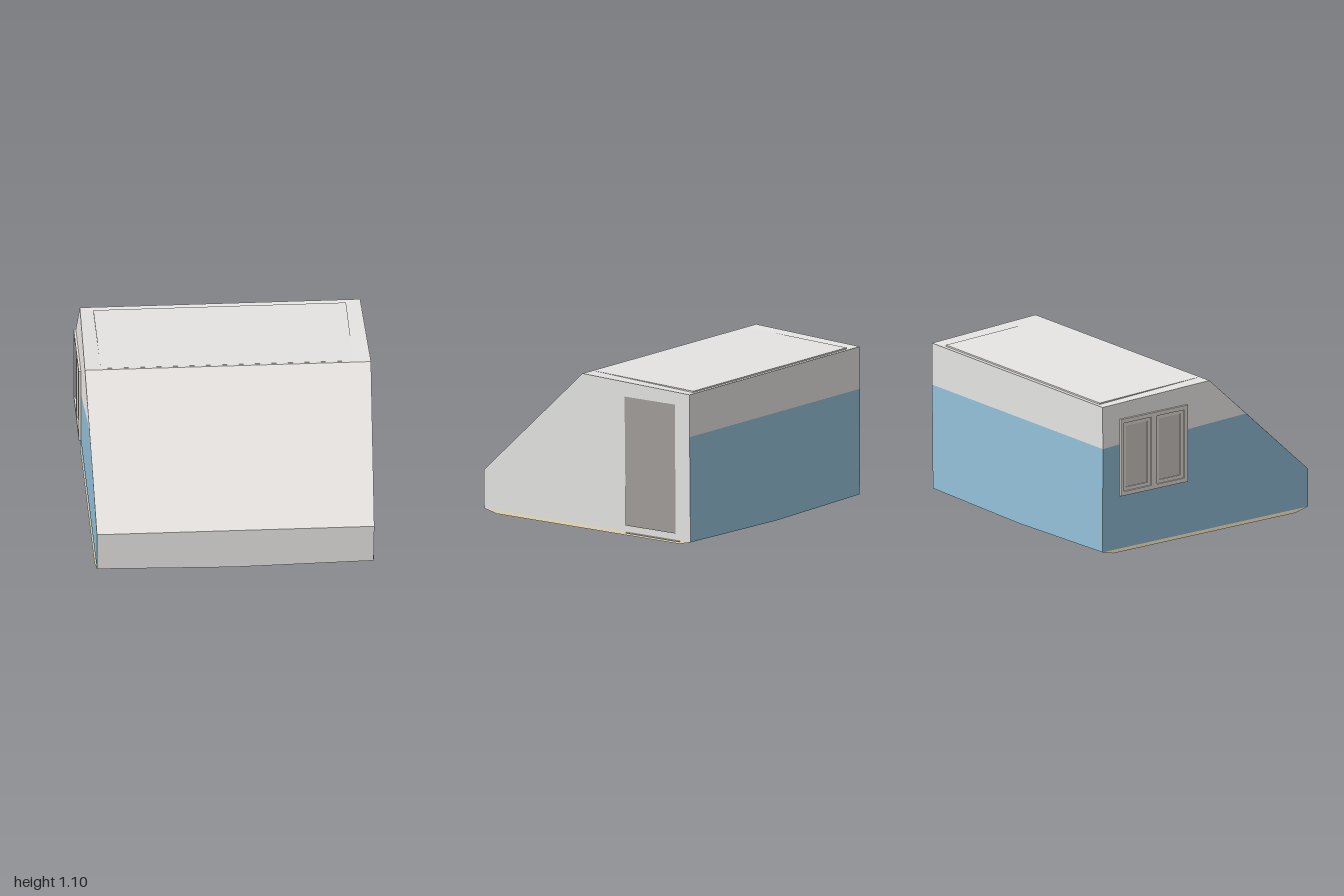
import * as THREE from 'three';

const mat = (name, color, side = THREE.FrontSide) => {
  const m = new THREE.MeshStandardMaterial({ color, side });
  m.name = name;
  return m;
};

// Polygon from 3D corners facing along +/- one axis, evenly shaded with its mean normal.
function panel(name, corners, axis, sign, material) {
  const i = 'xyz'.indexOf(axis), a = (i + 1) % 3, b = (i + 2) % 3;
  const flat = corners.map((p) => new THREE.Vector2(p[a], p[b]));
  const v = corners.map((p) => new THREE.Vector3(...p));
  const points = [], normals = [], mean = new THREE.Vector3();
  for (const [p, q, r] of THREE.ShapeUtils.triangulateShape(flat, [])) {
    const n = v[q].clone().sub(v[p]).cross(v[r].clone().sub(v[p]));
    const outward = n.getComponent(i) * sign > 0;
    points.push(...(outward ? [v[p], v[q], v[r]] : [v[p], v[r], v[q]]));
    mean.addScaledVector(n, outward ? 1 : -1);
  }
  mean.normalize();
  points.forEach(() => normals.push(mean.x, mean.y, mean.z));
  const g = new THREE.BufferGeometry().setFromPoints(points);
  g.setAttribute('normal', new THREE.Float32BufferAttribute(normals, 3));
  const mesh = new THREE.Mesh(g, material);
  mesh.name = name;
  return mesh;
}

function box(name, size, pos, material) {
  const mesh = new THREE.Mesh(new THREE.BoxGeometry(...size), material);
  mesh.position.set(...pos);
  mesh.name = name;
  return mesh;
}

export function createModel() {
  const shell = mat('light grey shell', 0xe5e4e2, THREE.DoubleSide);
  const warm = mat('warm grey shell', 0xe5e1df, THREE.DoubleSide);
  const blue = mat('blue paint', 0x94c1da, THREE.DoubleSide);
  const brown = mat('tan underside', 0xd9cca9, THREE.DoubleSide);
  const doorGrey = mat('door grey', 0xa19d9a);
  const frameGrey = mat('window frame grey', 0xe8e2dc);
  const paneGrey = mat('window pane grey', 0xd2cbc7);
  const model = new THREE.Group();
  model.name = 'wedgeCabin';

  // Key corners of the wedge-shaped body, left (+x) and right (-x)
  const L = {
    ridge: [1, 1.1, 0.02], backTop: [0.98, 1.068, -0.89], lip: [0.97, 0.3, 0.895],
    split: [0.98, 0.77, -0.89],
    base: [[0.965, 0.028, 0.895], [0.975, 0.006, 0.78], [0.975, 0.006, -0.8], [0.97, 0.028, -0.89]],
  };
  const R = {
    ridge: [-0.97, 1.1, 0.02], backTop: [-0.95, 1.068, -0.89], lip: [-0.94, 0.3, 0.895],
    split: [-0.955, 0.77, -0.89], slopeSplit: [-0.955, 0.8, 0.35],
    base: [[-0.94, 0.028, 0.895], [-0.95, 0.006, 0.78], [-0.955, 0.006, -0.8], [-0.95, 0.028, -0.89]],
  };
  const keel = [[0, 0.01, 0.895], [0, 0, 0.78], [0, 0, -0.8], [0, 0.01, -0.89]];

  // Front slope and front lip
  model.add(panel('frontSlope', [L.ridge, R.ridge, R.lip, L.lip], 'z', 1, warm));
  model.add(panel('frontLip', [L.lip, R.lip, R.base[0], keel[0], L.base[0]], 'z', 1, shell));

  // Roof: a rim dipping towards a flush centre panel
  const outer = [L.ridge, R.ridge, R.backTop, L.backTop];
  const inner = [[0.88, 1.098, 0], [-0.86, 1.098, 0], [-0.86, 1.06, -0.845], [0.88, 1.06, -0.845]];
  for (let i = 0; i < 4; i++) {
    const j = (i + 1) % 4;
    model.add(panel('roofRim', [outer[i], outer[j], inner[j], inner[i]], 'y', 1, shell));
  }
  const roofPanel = box('roofPanel', [1.74, 0.016, 0.845], [0.01, 1.0765, -0.4225], shell);
  roofPanel.rotation.x = -0.034;
  model.add(roofPanel);

  // Back wall in two colours
  model.add(panel('backWallUpper', [L.backTop, R.backTop, R.split, L.split], 'z', -1, shell));
  model.add(panel('backWallLower', [L.split, R.split, R.base[3], keel[3], L.base[3]], 'z', -1, blue));

  // Left wall with its door and threshold
  model.add(panel('leftWall', [L.ridge, L.lip, L.base[0], L.base[3], L.backTop], 'x', 1, shell));
  const door = [[0.978, 0.075, -0.34], [0.992, 0.985, -0.34], [0.986, 0.985, -0.77], [0.976, 0.075, -0.77]];
  const doorPlate = panel('door', door, 'x', 1, doorGrey);
  doorPlate.position.x = 0.004;
  model.add(doorPlate);
  model.add(box('doorThreshold', [0.02, 0.007, 0.46], [0.972, 0.022, -0.57], shell));

  // Right wall, bulging out to the window opening, in two colours
  const win = (y, z) => [-0.985, y, z];
  const z0 = -0.77, z1 = -0.19, y0 = 0.42, y1 = 0.97;
  model.add(panel('rightWallUpper', [R.ridge, R.slopeSplit, win(0.79, z1), win(y1, z1),
    win(y1, z0), win(0.79, z0), R.split, R.backTop], 'x', -1, warm));
  model.add(panel('rightWallLower', [R.slopeSplit, R.lip, R.base[0], R.base[3], R.split,
    win(0.79, z0), win(y0, z0), win(y0, z1), win(0.79, z1)], 'x', -1, blue));

  // Double window: frame with two openings, panes and inner sashes
  const rect = (T, w0, w1, h0, h1) => {
    const s = new T();
    s.moveTo(w0, h0);
    s.lineTo(w1, h0);
    s.lineTo(w1, h1);
    s.lineTo(w0, h1);
    s.closePath();
    return s;
  };
  const ring = (name, edge, holes, depth, x) => {
    const s = rect(THREE.Shape, ...edge);
    holes.forEach((h) => s.holes.push(rect(THREE.Path, ...h)));
    const g = new THREE.ExtrudeGeometry(s, { depth, bevelEnabled: false });
    g.rotateY(-Math.PI / 2);
    const mesh = new THREE.Mesh(g, frameGrey);
    mesh.position.x = x;
    mesh.name = name;
    return mesh;
  };
  const mid = (z0 + z1) / 2;
  const openings = [[z0 + 0.03, mid - 0.025], [mid + 0.025, z1 - 0.03]];
  const holes = openings.map(([a, b]) => [a, b, y0 + 0.03, y1 - 0.03]);
  model.add(ring('windowFrame', [z0, z1, y0, y1], holes, 0.025, -0.975));
  for (const [a, b, c, d] of holes) {
    model.add(ring('windowSash', [a, b, c, d], [[a + 0.025, b - 0.025, c + 0.025, d - 0.025]], 0.014, -0.975));
    model.add(box('windowPane', [0.008, d - c, b - a], [-0.979, (c + d) / 2, (a + b) / 2], paneGrey));
  }

  // Shallow hull-shaped underside with a narrow sill below each side wall
  for (const [side, sign] of [[L.base, 1], [R.base, -1]]) {
    model.add(panel('sill', side, 'x', sign, brown));
    for (let i = 0; i < 3; i++) {
      model.add(panel('underside', [side[i], side[i + 1], keel[i + 1], keel[i]], 'y', -1, brown));
    }
  }
  return model;
}
